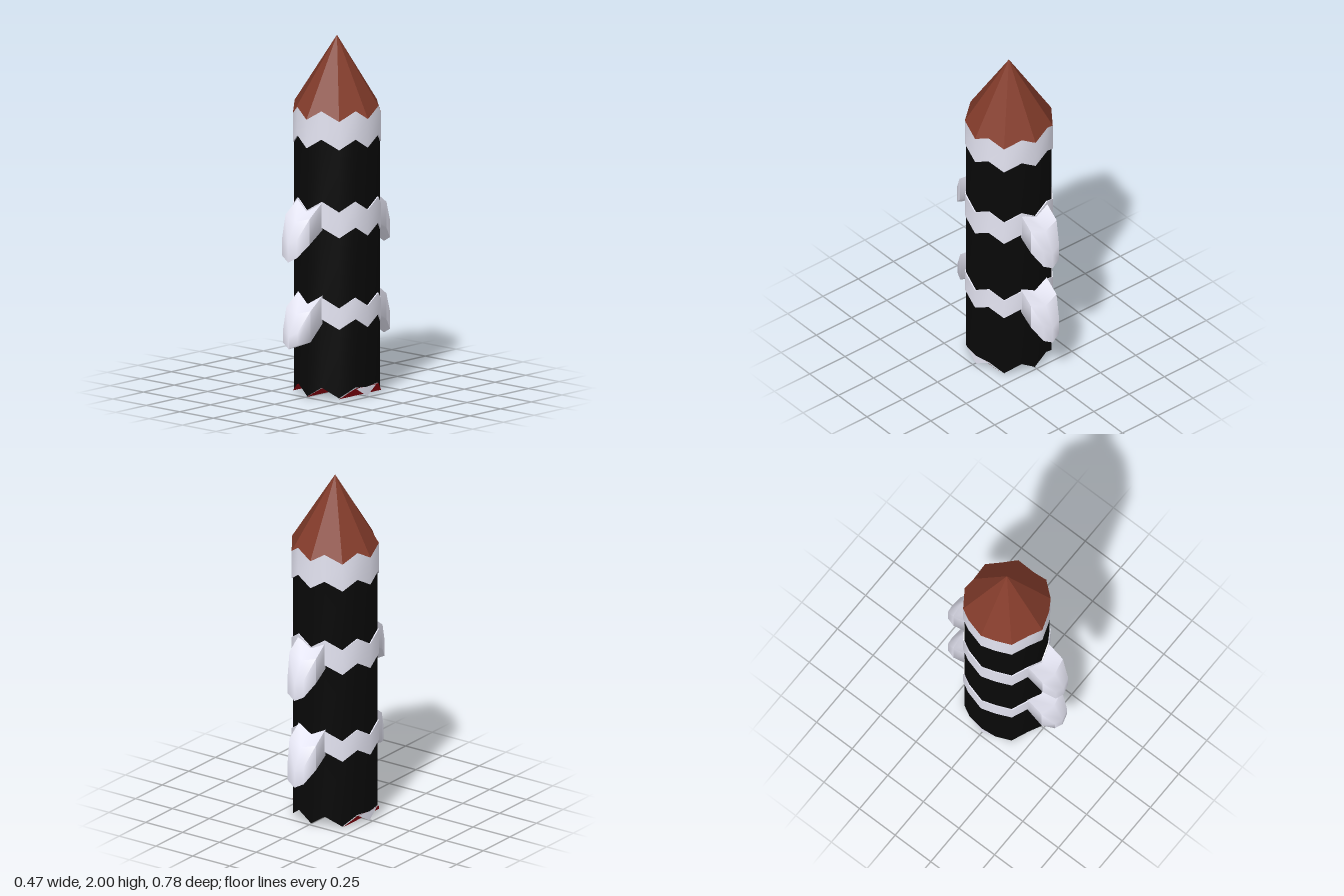
import * as THREE from 'three';
import { toCreasedNormals } from 'three/addons/utils/BufferGeometryUtils.js';

const N = 16;
const mat = (color) => new THREE.MeshStandardMaterial({ color });
const white = mat(0xe4e4f2), black = mat(0x080808), brown = mat(0x843c2b), red = mat(0x960010);

// half outline of the post seen from above, front to back (x, z)
const half = [[0, .241], [.09, .217], [.173, .163], [.228, .088], [.236, -.003],
  [.222, -.104], [.173, -.178], [.09, -.233], [0, -.241]];
const wrap = (i) => (i + N) % N;
const outline = (i) => {
  const k = wrap(i);
  return k <= 8 ? half[k] : [-half[N - k][0], half[N - k][1]];
};
// zigzag edge: even corners low, odd corners raised
const zig = (i, y, scale = 1) => {
  const [x, z] = outline(i);
  return [x * scale, y + (wrap(i) % 2 ? .057 : 0), z * scale];
};

function build(points, index) {
  const g = new THREE.BufferGeometry();
  g.setAttribute('position', new THREE.Float32BufferAttribute(points.flat(), 3));
  g.setIndex(index);
  g.computeVertexNormals();
  return g;
}

function add(group, name, geometry, material) {
  const m = new THREE.Mesh(geometry, material);
  m.name = name;
  group.add(m);
  return m;
}

// zigzag wall through a profile of [scale, height] rows; trim cuts the two side feet
function wall(profile, trim = 0) {
  const pts = [], idx = [], rows = profile.length;
  for (let i = 0; i < N; i++) {
    profile.forEach(([scale, y], r) => {
      const cut = r === 0 && i % 8 === 4 ? trim : 0;
      pts.push(zig(i, y + cut, scale));
      if (r === rows - 1) return;
      const a = i * rows + r, b = ((i + 1) % N) * rows + r;
      idx.push(a, b, b + 1, a, b + 1, a + 1);
    });
  }
  return toCreasedNormals(build(pts, idx), .9);
}
const INSET = .972;
const shaft = (y0, y1, trim) => wall([[INSET, y0], [INSET, y1]], trim);
// raised band with small ledges above and below
const band = (y0, y1) => wall([[INSET, y0], [1, y0], [1, y1], [INSET, y1]]);

// pointed tip: eight evenly shaded sectors, each with a raised middle corner
function tip() {
  const pts = [], idx = [], normals = [];
  for (let i = 0; i < N; i += 2) {
    const o = pts.length;
    pts.push(zig(i, 1.56), zig(i + 1, 1.56), zig(i + 2, 1.56), [0, 2, -.008]);
    idx.push(o, o + 1, o + 3, o + 1, o + 2, o + 3);
    const [l, , r, top] = pts.slice(o).map((p) => new THREE.Vector3(...p));
    const n = r.sub(l).cross(top.sub(l)).normalize().toArray();
    normals.push(n, n, n, n);
  }
  const g = build(pts, idx);
  g.setAttribute('normal', new THREE.Float32BufferAttribute(normals.flat(), 3));
  return g;
}

// folded underside: strips running from front to back
function underside() {
  const pts = Array.from({ length: N }, (_, i) => zig(i, 0));
  const idx = [5, 4, 3, 13, 12, 11];
  for (const k of [0, 1, 2, 8, 9, 10]) {
    const a = wrap(8 - k), b = wrap(7 - k);
    idx.push(a, b, k + 1, a, k + 1, k);
  }
  return toCreasedNormals(build(pts, idx), .1);
}

// drooping fin from three six-point sections; blunt raises the end, sag deepens the middle
function fin(blunt, sag) {
  // half width, then [y, z] of top edge, top centre, bottom edge, bottom centre
  const sections = [
    [.09, [1.107, .205], [1.05, .23], [.95, .205], [.91, .225]],
    [.09, [1.025, .313], [1.0, .33], [.88 - sag, .313], [.845 - sag, .318]],
    [.055, [.91, .379], [.88, .391], [.81 + blunt, .379], [.78 + blunt, .391]],
  ];
  const pts = [], idx = [];
  for (const [w, te, tc, be, bc] of sections) {
    pts.push([-w, ...te], [0, ...tc], [w, ...te], [w, ...be], [0, ...bc], [-w, ...be]);
  }
  for (let s = 0; s < 2; s++) {
    for (let j = 0; j < 6; j++) {
      const a = s * 6 + j, b = s * 6 + (j + 1) % 6;
      idx.push(a, a + 6, b + 6, a, b + 6, b);
    }
  }
  const e = 12;
  idx.push(e, e + 5, e + 4, e, e + 4, e + 1, e + 1, e + 4, e + 3, e + 1, e + 3, e + 2);
  return toCreasedNormals(build(pts, idx), 1.4);
}

export function createModel() {
  const model = new THREE.Group();
  model.name = 'stripedPost';

  // shaft stripes
  add(model, 'lowerShaft', shaft(.003, .39, .05), black);
  add(model, 'lowerBand', band(.39, .51), white);
  add(model, 'middleShaft', shaft(.51, .905), black);
  add(model, 'middleBand', band(.905, 1.05), white);
  add(model, 'upperShaft', shaft(1.05, 1.4), black);
  add(model, 'upperBand', band(1.4, 1.56), white);
  add(model, 'tip', tip(), brown);
  add(model, 'underside', underside(), red);

  // small pale corners at the foot of each side
  for (const k of [4, 12]) {
    const corners = [zig(k - 1, 0, INSET), zig(k, 0, INSET), zig(k, .053, INSET), zig(k + 1, 0, INSET)];
    add(model, 'footCorner', build(corners, [0, 1, 2, 1, 3, 2]), white);
  }

  // two pairs of fins, front and back
  const slim = fin(0, 0);
  add(model, 'upperFrontFin', slim, white);
  add(model, 'upperBackFin', slim, white).rotation.y = Math.PI;
  const lowerFront = add(model, 'lowerFrontFin', fin(.03, .03), white);
  lowerFront.position.set(0, -.52, -.007);
  const lowerBack = add(model, 'lowerBackFin', slim, white);
  lowerBack.position.y = -.515;
  lowerBack.rotation.y = Math.PI;
  return model;
}
